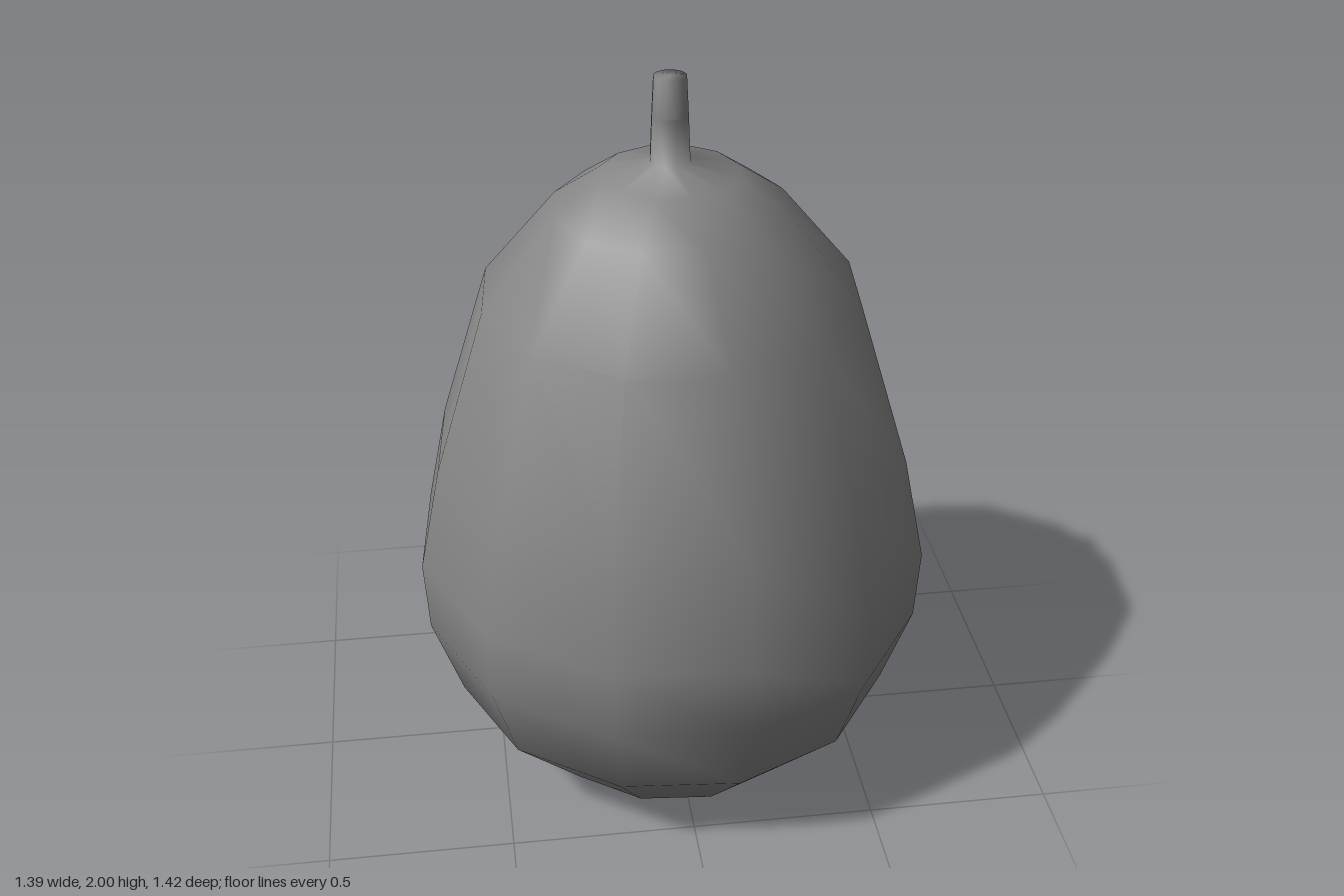
import * as THREE from 'three';
import { mergeVertices } from 'three/addons/utils/BufferGeometryUtils.js';

const SIDES = 12;
const TURN = THREE.MathUtils.degToRad(9.8);

// Smooth twelve-sided solid from [radius, height] pairs, bottom to top,
// slightly narrower across than deep
function turned(name, profile) {
  const points = profile.map(([r, y]) => new THREE.Vector2(r, y));
  const lathe = new THREE.LatheGeometry(points, SIDES, TURN);
  lathe.scale(0.98, 1, 1);

  // Weld the seam and poles so shading runs smoothly over every edge
  lathe.deleteAttribute('normal');
  lathe.deleteAttribute('uv');
  const geometry = mergeVertices(lathe);
  geometry.computeVertexNormals();

  const mesh = new THREE.Mesh(geometry, new THREE.MeshStandardMaterial({ color: 0x858585 }));
  mesh.name = name;
  return mesh;
}

export function createModel() {
  const group = new THREE.Group();
  group.name = 'fruit';

  // Body with a flat base, ending in a collar that blends into the stem
  group.add(turned('body', [
    [0, 0], [0.39, 0], [0.627, 0.245], [0.71, 0.48], [0.722, 0.68], [0.66, 0.97],
    [0.516, 1.42], [0.313, 1.66], [0.185, 1.745], [0.054, 1.777], [0.049, 1.9],
  ]));

  // Tapered stem with a closed, softly shaded top
  group.add(turned('stem', [[0.049, 1.9], [0.044, 2], [0, 2]]));

  return group;
}
